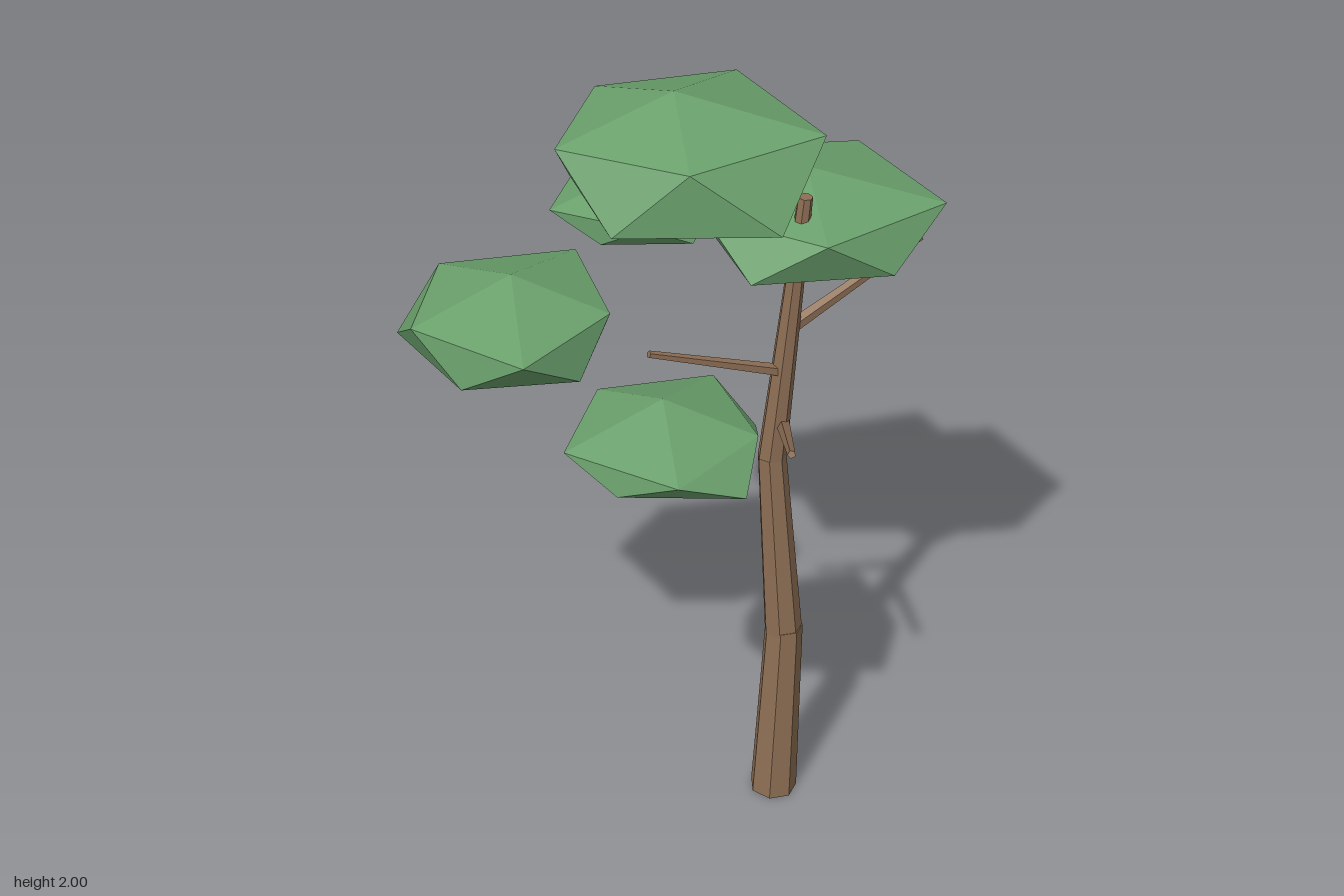
import * as THREE from 'three';

const bark = new THREE.MeshStandardMaterial({ color: 0x8e6f55, flatShading: true });
const leaves = new THREE.MeshStandardMaterial({ color: 0x6aa06c, flatShading: true });

// Tapered limb between two points
function limb(name, from, to, r0, r1, sides) {
  const a = new THREE.Vector3(...from), b = new THREE.Vector3(...to);
  const dir = b.clone().sub(a);
  const mesh = new THREE.Mesh(new THREE.CylinderGeometry(r1, r0, dir.length(), sides), bark);
  mesh.position.copy(a).add(b).multiplyScalar(0.5);
  mesh.quaternion.setFromUnitVectors(new THREE.Vector3(0, 1, 0), dir.normalize());
  mesh.name = name;
  return mesh;
}

// Squashed, uneven 20-sided leaf clump: two staggered rings of five between two poles.
// heights = [top, upper ring, lower ring, bottom]; radii run from +x towards +z
function clump({ name, x, z, heights, upper, lower }) {
  const [top, yUpper, yLower, bottom] = heights;
  const ring = (radii, y, offset) => radii.map((r, i) => {
    const a = THREE.MathUtils.degToRad(72 * i + offset);
    return [x + r * Math.cos(a), y, z + r * Math.sin(a)];
  });
  const U = ring(upper, yUpper, 0), L = ring(lower, yLower, 36);
  const apex = [x, top, z], base = [x, bottom, z], corners = [];
  for (let i = 0; i < 5; i++) {
    const j = (i + 1) % 5;
    corners.push(apex, U[j], U[i], U[i], U[j], L[i], L[i], U[j], L[j], base, L[i], L[j]);
  }
  const geometry = new THREE.BufferGeometry();
  geometry.setAttribute('position', new THREE.Float32BufferAttribute(corners.flat(), 3));
  geometry.computeVertexNormals();
  const mesh = new THREE.Mesh(geometry, leaves);
  mesh.name = name;
  return mesh;
}

export function createModel() {
  const tree = new THREE.Group();
  tree.name = 'tree';

  // Trunk in three bent sections
  tree.add(
    limb('lowerTrunk', [0.275, 0, -0.073], [0.289, 0.535, -0.079], 0.062, 0.049, 7),
    limb('middleTrunk', [0.287, 0.525, -0.079], [0.247, 1.055, -0.074], 0.049, 0.036, 7),
    limb('upperTrunk', [0.247, 1.045, -0.074], [0.308, 1.77, -0.073], 0.036, 0.018, 7),
  );

  // Bare branches
  tree.add(
    limb('leftBranch', [0.275, 1.41, -0.08], [0.565, 1.605, -0.235], 0.018, 0.01, 5),
    limb('frontBranch', [0.275, 1.145, -0.07], [0.335, 1.28, 0.25], 0.018, 0.01, 5),
    limb('rightBranch', [0.27, 1.3, -0.07], [-0.02, 1.43, 0.12], 0.016, 0.009, 5),
  );

  // Leaf clumps
  const clumps = [
    { name: 'topLeaves', x: 0, z: -0.09, heights: [2, 1.92, 1.765, 1.655],
      upper: [0.35, 0.26, 0.295, 0.264, 0.316], lower: [0.35, 0.294, 0.245, 0.27, 0.26] },
    { name: 'leftLeaves', x: 0.29, z: -0.24, heights: [1.76, 1.695, 1.585, 1.525],
      upper: [0.33, 0.275, 0.27, 0.308, 0.294], lower: [0.286, 0.285, 0.24, 0.25, 0.27] },
    { name: 'backLeaves', x: -0.13, z: -0.3, heights: [1.685, 1.625, 1.56, 1.51],
      upper: [0.2, 0.2, 0.226, 0.2, 0.215], lower: [0.2, 0.17, 0.18, 0.21, 0.2] },
    { name: 'rightLeaves', x: -0.34, z: 0.12, heights: [1.61, 1.53, 1.425, 1.365],
      upper: [0.23, 0.285, 0.25, 0.264, 0.294], lower: [0.23, 0.23, 0.28, 0.275, 0.24] },
    { name: 'frontLeaves', x: 0.04, z: 0.27, heights: [1.41, 1.335, 1.27, 1.225],
      upper: [0.22, 0.256, 0.247, 0.22, 0.25], lower: [0.27, 0.215, 0.2, 0.22, 0.24] },
  ];
  clumps.forEach((c) => tree.add(clump(c)));
  return tree;
}
